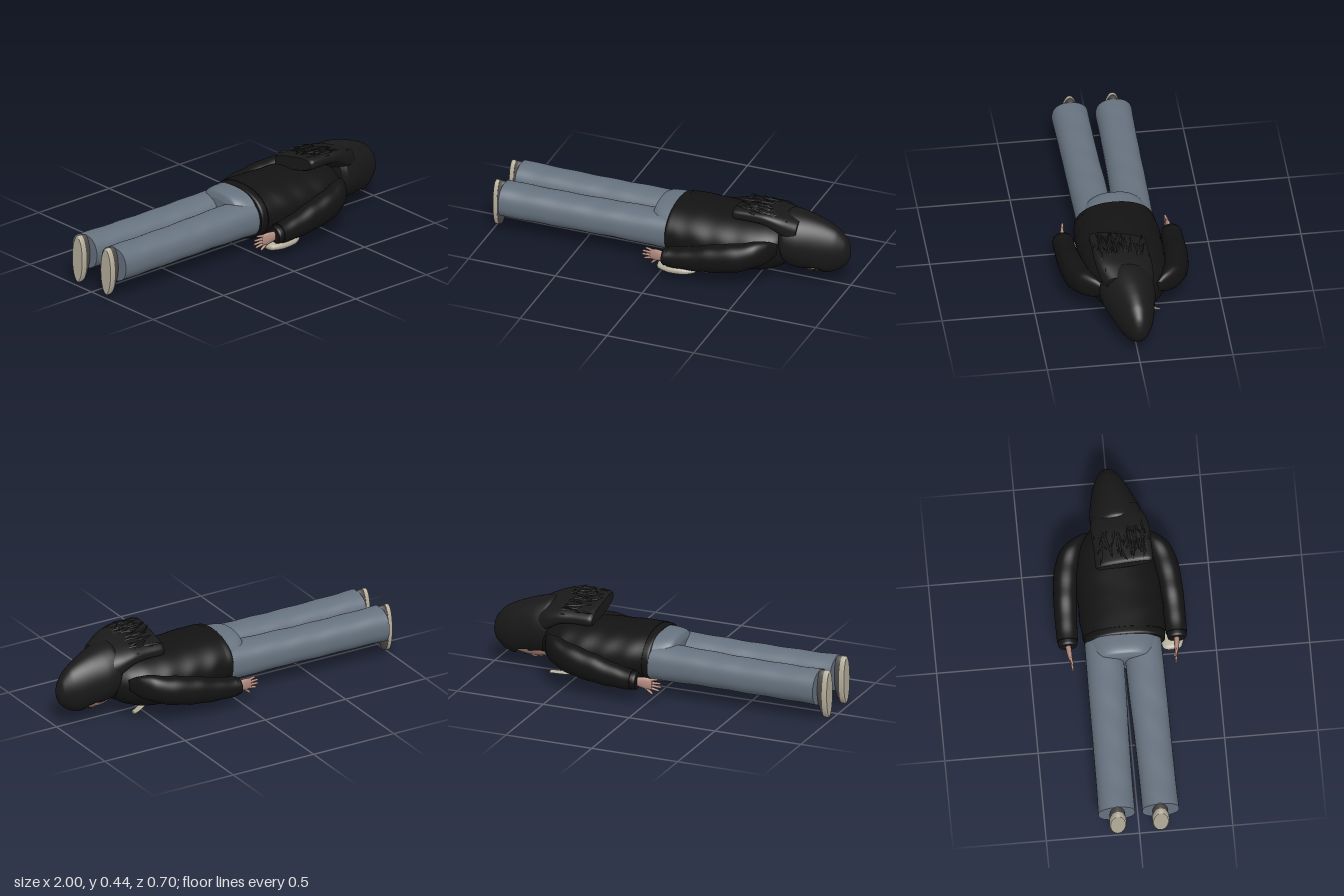
import * as THREE from 'three';

const mat = (name, color, side = THREE.FrontSide) => {
  const m = new THREE.MeshStandardMaterial({ color, side });
  m.name = name;
  return m;
};

// Lofted body along x. Sections: [x, yCentre, zCentre, yRadius, zRadius]
function loft(secs, { n = 2, seg = 40, steps = 6, rule = null } = {}) {
  const centres = new THREE.CatmullRomCurve3(secs.map(s => new THREE.Vector3(s[0], s[1], s[2])), false, 'catmullrom', 0.4);
  const radii = new THREE.CatmullRomCurve3(secs.map(s => new THREE.Vector3(s[3], s[4], 0)), false, 'catmullrom', 0.4);
  const rows = (secs.length - 1) * steps;
  const pos = [], idx = [];
  const sup = v => Math.sign(v) * Math.pow(Math.abs(v), 2 / n);
  for (let i = 0; i <= rows; i++) {
    const c = centres.getPoint(i / rows), r = radii.getPoint(i / rows);
    for (let j = 0; j < seg; j++) {
      const a = j / seg * Math.PI * 2;
      const v = new THREE.Vector3(c.x, c.y + r.x * sup(Math.cos(a)), c.z + r.y * sup(Math.sin(a)));
      if (rule) rule(v);
      pos.push(v.x, v.y, v.z);
    }
  }
  for (let i = 0; i < rows; i++) for (let j = 0; j < seg; j++) {
    const a = i * seg + j, b = i * seg + (j + 1) % seg;
    idx.push(a, b, a + seg, b, b + seg, a + seg);
  }
  // End caps with their own vertices so the rims stay sharp
  for (const row of [0, rows]) {
    const base = pos.length / 3;
    let y = 0, z = 0;
    for (let j = 0; j < seg; j++) {
      const k = (row * seg + j) * 3;
      y += pos[k + 1] / seg;
      z += pos[k + 2] / seg;
      pos.push(pos[k], pos[k + 1], pos[k + 2]);
    }
    pos.push(pos[row * seg * 3], y, z);
    for (let j = 0; j < seg; j++) {
      const a = base + j, b = base + (j + 1) % seg, c = base + seg;
      if (row === 0) idx.push(c, b, a); else idx.push(c, a, b);
    }
  }
  const g = new THREE.BufferGeometry();
  g.setAttribute('position', new THREE.Float32BufferAttribute(pos, 3));
  g.setIndex(idx);
  g.computeVertexNormals();
  return g;
}

export function createModel() {
  const model = new THREE.Group();
  model.name = 'lyingFigure';
  const jacket = mat('jacketBlack', 0x131313);
  const hair = mat('hairBlack', 0x191919);
  const denim = mat('denimBlue', 0x66727f);
  const skin = mat('skin', 0xb38c80);
  const cream = mat('cream', 0xb5ae9c);
  const shoe = mat('shoeGrey', 0x4c4848);

  const add = (name, geo, m, parent = model) => {
    const mesh = new THREE.Mesh(geo, m);
    mesh.name = name;
    parent.add(mesh);
    return mesh;
  };
  const ball = (name, m, p, s, parent = model) => {
    const b = add(name, new THREE.SphereGeometry(1, 24, 16), m, parent);
    b.position.set(...p);
    b.scale.set(...s);
    return b;
  };

  // Jacket body and hem
  add('jacketBody', loft([
    [0.055, 0.195, 0.01, 0.15, 0.222], [0.15, 0.19, 0.008, 0.155, 0.228], [0.28, 0.183, 0.005, 0.157, 0.227],
    [0.42, 0.182, 0, 0.155, 0.22], [0.54, 0.186, 0, 0.143, 0.203], [0.62, 0.19, 0, 0.118, 0.165], [0.68, 0.19, 0, 0.085, 0.1],
  ], { n: 2.2, seg: 56, rule: v => { v.z += 0.002 * Math.sin(v.x * 45 + v.y * 20); } }), jacket);
  add('jacketHem', loft([[0.015, 0.195, 0.01, 0.14, 0.21], [0.025, 0.195, 0.01, 0.147, 0.217], [0.06, 0.195, 0.01, 0.147, 0.217]],
    { n: 2.2, seg: 56 }), jacket);

  // Trouser seat
  add('trouserSeat', loft([
    [-0.1, 0.2, 0, 0.09, 0.12], [-0.085, 0.197, 0, 0.127, 0.15], [-0.04, 0.197, 0, 0.137, 0.175], [0.08, 0.197, 0, 0.135, 0.2],
  ], { n: 2.5 }), denim);

  for (const s of [1, -1]) {
    const side = s > 0 ? 'left' : 'right';
    // Trouser leg
    add(side + 'Leg', loft([
      [-0.945, 0.189, s * 0.118, 0.094, 0.099], [-0.8, 0.188, s * 0.116, 0.092, 0.097], [-0.5, 0.188, s * 0.112, 0.091, 0.098],
      [-0.3, 0.19, s * 0.108, 0.092, 0.101], [0.03, 0.19, s * 0.103, 0.1, 0.102],
    ], { n: 2.3, rule: v => { v.y += 0.0015 * Math.sin(v.x * 30 + v.z * 25); } }), denim);

    // Shoe upper and sole
    add(side + 'Shoe', loft([
      [-0.978, 0.155, s * 0.115, 0.132, 0.044], [-0.96, 0.16, s * 0.115, 0.13, 0.043], [-0.94, 0.185, s * 0.115, 0.1, 0.04],
      [-0.9, 0.2, s * 0.115, 0.06, 0.04],
    ]), shoe);
    add(side + 'Sole', loft([
      [-1, 0.156, s * 0.115, 0.127, 0.04], [-0.994, 0.156, s * 0.115, 0.134, 0.046], [-0.974, 0.156, s * 0.115, 0.134, 0.046],
    ], { steps: 3 }), cream);

    // Sleeve and cuff
    add(side + 'Sleeve', loft([
      [0.07, 0.138, s * 0.292, 0.054, 0.056], [0.15, 0.142, s * 0.291, 0.06, 0.058], [0.3, 0.166, s * 0.284, 0.076, 0.064],
      [0.45, 0.192, s * 0.265, 0.08, 0.068], [0.55, 0.215, s * 0.232, 0.073, 0.06], [0.6, 0.222, s * 0.195, 0.058, 0.042],
      [0.635, 0.22, s * 0.15, 0.03, 0.02],
    ], { n: 2.2, rule: v => { v.y += 0.002 * Math.sin(v.x * 50); } }), jacket);
    add(side + 'Cuff', loft([[0.04, 0.133, s * 0.292, 0.043, 0.045], [0.05, 0.134, s * 0.292, 0.049, 0.051],
      [0.08, 0.136, s * 0.292, 0.05, 0.052]]), jacket);

    // Hand: palm, four fingers, thumb
    const hand = new THREE.Group();
    hand.name = side + 'Hand';
    model.add(hand);
    add('palm', loft([[-0.04, 0.124, s * 0.282, 0.03, 0.009], [0, 0.127, s * 0.287, 0.033, 0.013],
      [0.06, 0.132, s * 0.292, 0.022, 0.016]], { seg: 20 }), skin, hand);
    for (let i = 0; i < 4; i++) {
      const y = 0.102 + i * 0.015, tipY = 0.091 + i * 0.02, tipX = [-0.078, -0.09, -0.087, -0.07][i];
      add('finger', loft([[tipX, tipY, s * 0.277, 0.002, 0.002], [tipX + 0.006, tipY, s * 0.277, 0.006, 0.006],
        [-0.03, y, s * 0.283, 0.008, 0.008]], { seg: 10, steps: 4 }), skin, hand);
    }
    add('thumb', loft([[-0.04, 0.067, s * 0.275, 0.002, 0.002], [-0.034, 0.07, s * 0.276, 0.008, 0.007],
      [0.015, 0.115, s * 0.286, 0.013, 0.01]], { seg: 10, steps: 4 }), skin, hand);
  }

  // Head: neck and face looking down
  const head = new THREE.Group();
  head.name = 'head';
  model.add(head);
  add('neck', loft([[0.6, 0.19, 0, 0.07, 0.07], [0.76, 0.2, 0.01, 0.07, 0.07]]), skin, head);
  add('face', loft([
    [0.675, 0.14, 0.013, 0.03, 0.03], [0.69, 0.142, 0.013, 0.06, 0.05], [0.74, 0.15, 0.013, 0.078, 0.074],
    [0.8, 0.158, 0.013, 0.084, 0.085], [0.86, 0.17, 0.013, 0.084, 0.086], [0.91, 0.185, 0.012, 0.072, 0.072],
  ]), skin, head);
  ball('nose', skin, [0.772, 0.074, 0.013], [0.024, 0.017, 0.013], head);
  ball('lips', skin, [0.73, 0.075, 0.013], [0.01, 0.008, 0.024], head);
  for (const s of [1, -1]) {
    ball('eyelash', hair, [0.81, 0.082, 0.013 + s * 0.037], [0.004, 0.004, 0.016], head);
  }

  // Hair over the skull, hollowed around the face
  add('hairCap', loft([
    [0.64, 0.27, 0.03, 0.12, 0.12], [0.67, 0.258, 0.03, 0.155, 0.145], [0.73, 0.245, 0.024, 0.16, 0.142],
    [0.8, 0.232, 0.016, 0.154, 0.122], [0.87, 0.214, 0.008, 0.145, 0.1], [0.93, 0.208, 0.003, 0.118, 0.075],
    [0.975, 0.203, 0, 0.075, 0.046], [0.992, 0.2, 0, 0.04, 0.025], [1, 0.2, 0, 0.003, 0.003],
  ], {
    seg: 80, steps: 8, rule: v => {
      const w = Math.abs(v.z - 0.013), edge = 0.905 - w * 0.9;
      if (v.y < 0.16 && w < 0.078 && v.x < edge) v.y = Math.max(v.y, 0.145 - w * 0.3);
    },
  }), hair, head);

  // Long hair thrown over the upper back
  const slant = v => { v.y += (v.z - 0.04) * 0.2; };
  add('backHair', loft([
    [0.39, 0.375, 0.042, 0.036, 0.145], [0.41, 0.377, 0.042, 0.045, 0.155], [0.5, 0.378, 0.04, 0.046, 0.154],
    [0.58, 0.372, 0.036, 0.05, 0.156], [0.66, 0.34, 0.03, 0.068, 0.148], [0.74, 0.3, 0.024, 0.08, 0.12],
  ], { n: 2.8, seg: 56, rule: slant }), hair, head);

  // Loose curved locks
  let seed = 7;
  const rnd = () => (seed = (seed * 16807) % 2147483647) / 2147483647;
  for (let i = 0; i < 46; i++) {
    const u = rnd() * 1.9 - 0.95, x = 0.39 + rnd() * 0.17, len = 0.07 + rnd() * 0.09;
    const z = 0.04 + u * 0.145, drift = (rnd() - 0.5) * 0.05;
    const top = t => 0.379 + 0.045 * Math.pow(1 - Math.pow(Math.abs(u), 2.8), 1 / 2.8) - Math.max(0, t - 0.56) * 0.25;
    add('lock', loft([
      [x, top(x) + 0.005, z + drift, 0.001, 0.001], [x + len * 0.35, top(x + len * 0.35) + 0.001, z + drift * 0.2, 0.005, 0.006],
      [x + len * 0.7, top(x + len * 0.7), z - drift * 0.3, 0.005, 0.007], [x + len, top(x + len) - 0.006, z, 0.001, 0.001],
    ], { seg: 6, steps: 4, rule: slant }), hair, head);
  }

  // Shoulder bag and its strap
  add('bag', loft([
    [0.0, 0.072, 0.262, 0.006, 0.02], [0.015, 0.072, 0.265, 0.02, 0.05], [0.08, 0.072, 0.268, 0.028, 0.066],
    [0.16, 0.072, 0.266, 0.026, 0.062], [0.21, 0.072, 0.258, 0.016, 0.045], [0.23, 0.07, 0.25, 0.004, 0.015],
  ], { n: 2.3 }), cream);
  add('bagStrap', loft([
    [0.17, 0.064, 0.235, 0.006, 0.018], [0.24, 0.03, 0.185, 0.006, 0.02], [0.34, 0.01, 0.1, 0.006, 0.02],
    [0.44, 0.013, 0.01, 0.006, 0.02], [0.54, 0.03, -0.08, 0.006, 0.02], [0.61, 0.052, -0.145, 0.006, 0.018],
  ], { n: 3, seg: 16 }), cream);

  return model;
}
